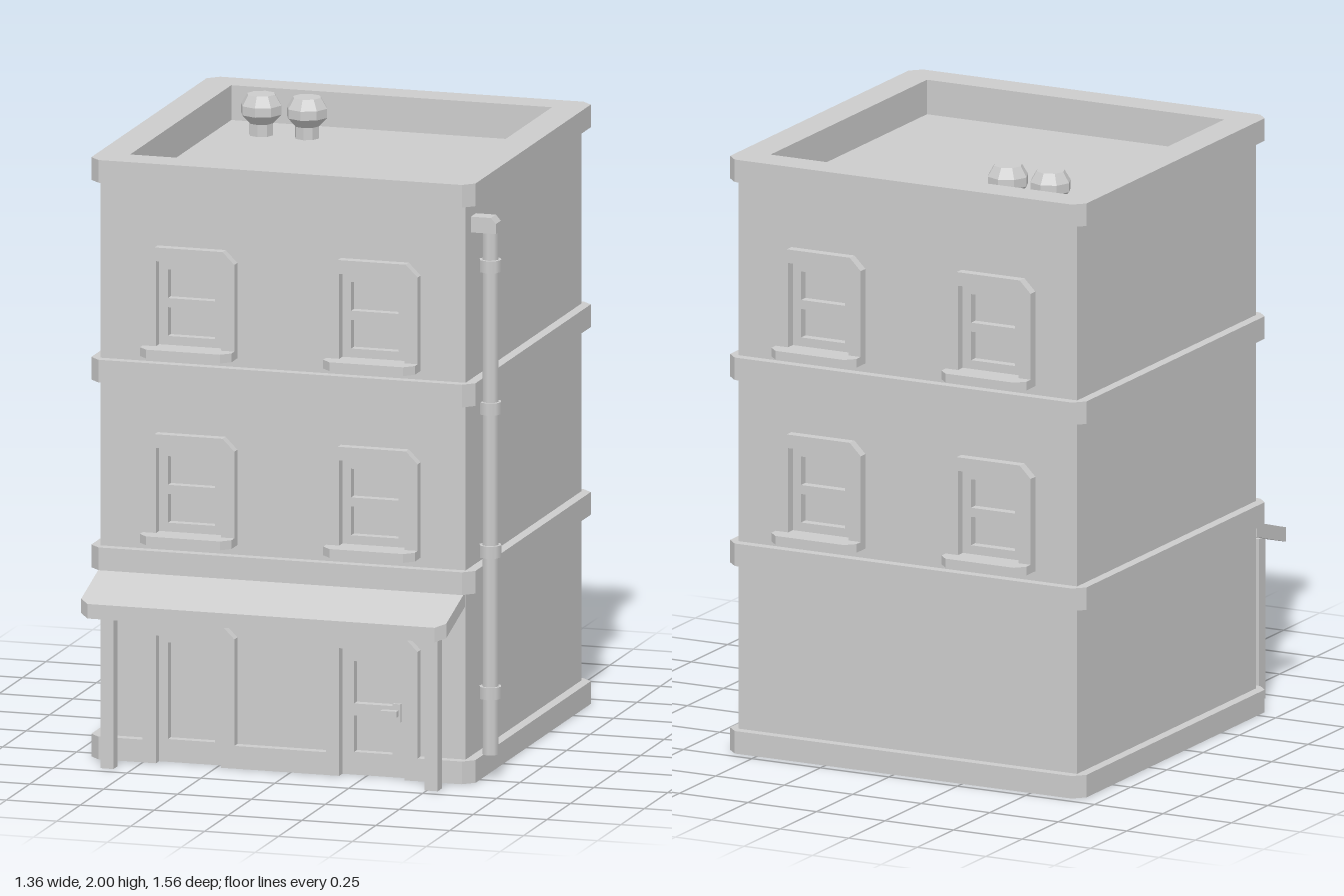
import * as THREE from 'three';

const CX = -0.035, CZ = -0.0675;      // centre of the building
const HALF = 0.6175, BAND = 0.65;     // half widths of walls and bands
const SKIN = 0.03, FRAME = 0.033;     // pane recess and frame projection
const ROOF = 1.865;

const stone = new THREE.MeshStandardMaterial({ color: 0xcccccc });
stone.name = 'grey stone';

function mesh(geometry, name, parent) {
  const m = new THREE.Mesh(geometry, stone);
  m.name = name;
  parent.add(m);
  return m;
}

function polygon(points, Type = THREE.Shape) {
  return new Type(points.map(([x, y]) => new THREE.Vector2(x, y)));
}

const rect = (x0, x1, y0, y1) => [[x0, y0], [x1, y0], [x1, y1], [x0, y1]];

// Outline with all corners cut
const cutRect = (h, c) => [
  [-h + c, -h], [h - c, -h], [h, -h + c], [h, h - c],
  [h - c, h], [-h + c, h], [-h, h - c], [-h, -h + c],
];

function extrude(shape, depth) {
  return new THREE.ExtrudeGeometry(shape, { depth, bevelEnabled: false });
}

// Horizontal slab from a plan drawn as (x, -z)
function slab(shape, y0, y1) {
  return extrude(shape, y1 - y0).rotateX(-Math.PI / 2).translate(0, y0, 0);
}

function box(x0, x1, y0, y1, z0, z1) {
  return new THREE.BoxGeometry(x1 - x0, y1 - y0, z1 - z0)
    .translate((x0 + x1) / 2, (y0 + y1) / 2, (z0 + z1) / 2);
}

// Arched surround, open at its foot
function surround(x, y0, y1) {
  const w = 0.155, i = 0.11, c = 0.04, t = 0.045;
  return extrude(polygon([
    [x - w, y0], [x - i, y0], [x - i, y1 - t], [x + i, y1 - t], [x + i, y0], [x + w, y0],
    [x + w, y1 - c], [x + w - c, y1], [x - w + c, y1], [x - w, y1 - c],
  ]), FRAME);
}

// One outer wall with its openings, outer face at local z = 0
function facade(name, hasDoors) {
  const g = new THREE.Group();
  g.name = name;
  const wall = polygon(rect(-HALF, HALF, 0, 1.905));
  const cut = (...r) => wall.holes.push(polygon(rect(...r), THREE.Path));
  for (const y of [0.735, 1.352]) {
    for (const x of [-0.31, 0.31]) {
      cut(x - 0.08, x + 0.08, y + 0.055, y + 0.15);
      cut(x - 0.08, x + 0.08, y + 0.18, y + 0.275);
      mesh(surround(x, y, y + 0.352), 'windowFrame', g);
      const w = 0.155, d = 0.092, c = 0.03;
      const sill = polygon([
        [x - w, 0], [x - w, -d + c], [x - w + c, -d], [x + w - c, -d], [x + w, -d + c], [x + w, 0],
      ]);
      mesh(slab(sill, y - 0.003, y + 0.026), 'windowSill', g);
    }
  }
  if (hasDoors) {
    cut(-0.39, -0.23, 0.03, 0.395);
    cut(0.24, 0.37, 0.04, 0.195);
    cut(0.24, 0.37, 0.235, 0.375);
    for (const x of [-0.31, 0.31]) mesh(surround(x, 0, 0.467), 'doorFrame', g);
    mesh(box(0.375, 0.4, 0.185, 0.245, 0, 0.012), 'doorHandlePlate', g);
    mesh(box(0.34, 0.394, 0.205, 0.225, 0.012, 0.035), 'doorHandleLever', g);
  }
  mesh(extrude(wall, SKIN).translate(0, 0, -SKIN), 'wallFace', g);
  return g;
}

export function createModel() {
  const model = new THREE.Group();
  model.name = 'townBuilding';
  const building = new THREE.Group();
  building.name = 'building';
  building.position.set(CX, 0, CZ);
  model.add(building);

  // Core, front and back walls
  const inZ = HALF - SKIN;
  mesh(box(-HALF, HALF, 0, ROOF, -inZ, inZ), 'wallsAndRoof', building);
  const front = facade('frontWall', true);
  front.position.z = HALF;
  const back = facade('backWall', false);
  back.position.z = -HALF;
  back.rotation.y = Math.PI;
  building.add(front, back);

  // Parapet around the sunken roof
  const well = () => polygon(rect(-0.5425, 0.5425, -0.54, 0.54), THREE.Path);
  const lower = polygon(rect(-HALF, HALF, -inZ, inZ));
  lower.holes.push(well());
  mesh(slab(lower, ROOF, 1.905), 'parapetWall', building);
  const coping = polygon(cutRect(BAND, 0.035));
  coping.holes.push(well());
  mesh(slab(coping, 1.905, 1.98), 'parapetCoping', building);

  // Floor bands
  for (const y of [0.625, 1.245]) {
    mesh(slab(polygon(cutRect(BAND, 0.035)), y, y + 0.075), 'floorBand', building);
  }

  // Plinth, notched at the doors
  const plan = cutRect(BAND, 0.035);
  const notches = [-0.31, 0.31].flatMap((x) => [
    [x - 0.11, -BAND], [x - 0.11, -HALF], [x + 0.11, -HALF], [x + 0.11, -BAND],
  ]);
  plan.splice(1, 0, ...notches);
  mesh(slab(polygon(plan), 0, 0.075), 'plinth', building);

  // Sloping porch roof with cut front corners
  const porch = slab(polygon([
    [-0.655, -0.55], [-0.655, -0.75], [-0.625, -0.78],
    [0.55, -0.78], [0.58, -0.75], [0.58, -0.55],
  ]), 0.58, 0.628);
  const p = porch.attributes.position;
  for (let i = 0; i < p.count; i++) p.setY(i, p.getY(i) - (p.getZ(i) - 0.55) * 0.31);
  porch.computeVertexNormals();
  mesh(porch, 'porchRoof', model);
  for (const x of [-0.582, 0.515]) {
    mesh(box(x - 0.022, x + 0.022, 0, 0.54, 0.662, 0.706), 'porchPost', model);
  }

  // Drainpipe with collars and a top elbow
  const pipe = new THREE.Group();
  pipe.name = 'drainpipe';
  pipe.position.set(0.64, 0, 0.468);
  model.add(pipe);
  const tube = (r, y0, y1) => new THREE.CylinderGeometry(r, r, y1 - y0, 8).translate(0, (y0 + y1) / 2, 0);
  mesh(tube(0.027, 0.08, 1.81), 'pipe', pipe);
  for (const y of [0.285, 0.752, 1.225, 1.695]) mesh(tube(0.037, y - 0.02, y + 0.02), 'pipeCollar', pipe);
  const elbow = polygon([
    [-0.06, 1.805], [0.027, 1.805], [0.027, 1.838], [0.01, 1.857], [-0.06, 1.857],
  ]);
  mesh(extrude(elbow, 0.054).translate(0, 0, -0.027), 'pipeElbow', pipe);

  // Chimney pots
  const profile = [
    [0.04, ROOF], [0.04, 1.905], [0.068, 1.935], [0.068, 1.965], [0.047, 2], [0, 2],
  ].map(([r, y]) => new THREE.Vector2(r, y));
  for (const x of [-0.42, -0.265]) {
    const pot = new THREE.LatheGeometry(profile, 8).toNonIndexed();
    pot.computeVertexNormals();
    mesh(pot, 'chimneyPot', model).position.set(x, 0, -0.43);
  }
  return model;
}
